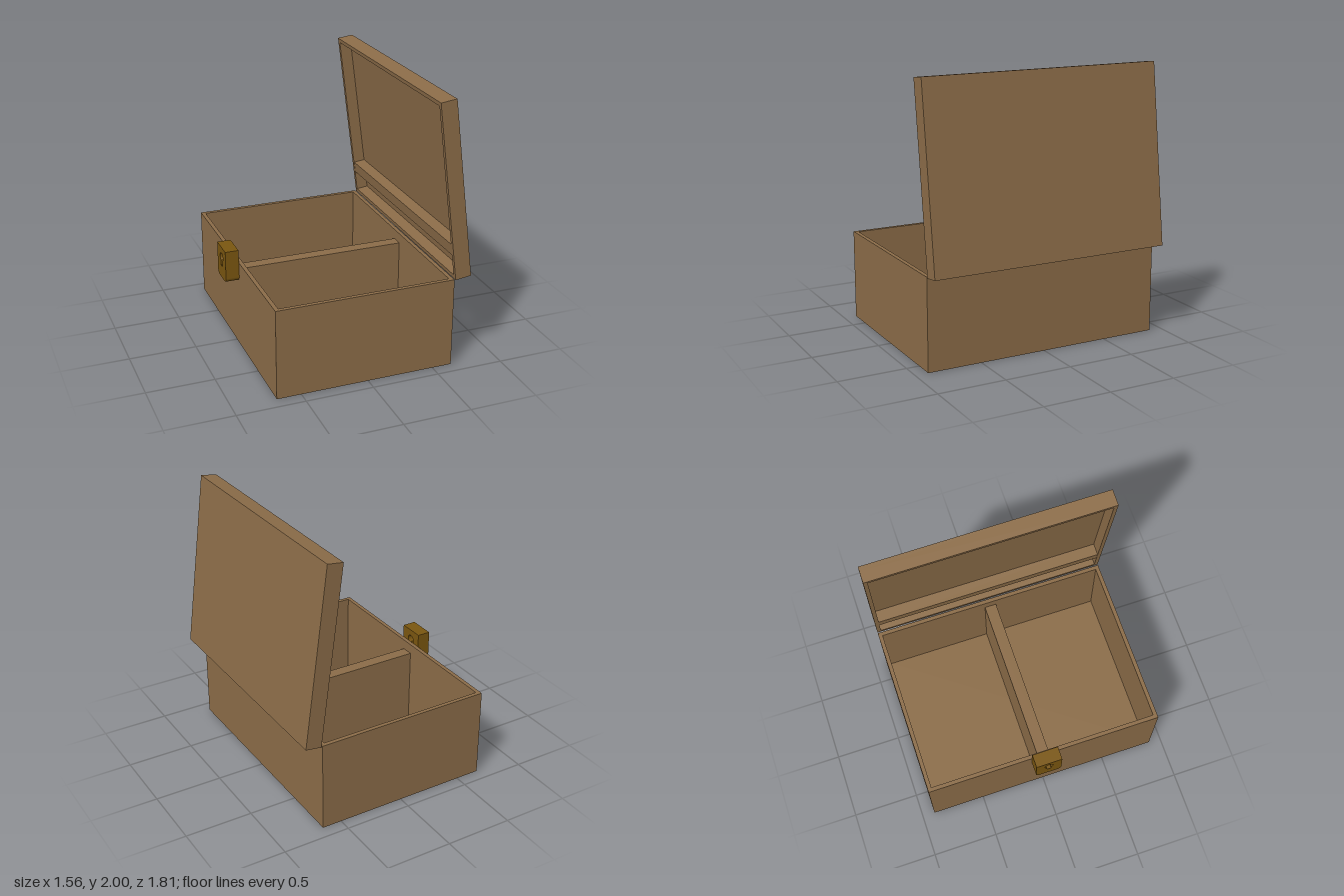
import * as THREE from 'three';

const LENGTH = 1.327, WIDTH = 1.81, WALL = 0.03;
const wood = new THREE.MeshStandardMaterial({ color: 0x8b6c48 });
const brass = new THREE.MeshStandardMaterial({ color: 0x7a5610 });

function addBox(group, name, [x0, x1], [y0, y1], [z0, z1]) {
  const mesh = new THREE.Mesh(new THREE.BoxGeometry(x1 - x0, y1 - y0, z1 - z0), wood);
  mesh.position.set((x0 + x1) / 2, (y0 + y1) / 2, (z0 + z1) / 2);
  mesh.name = name;
  group.add(mesh);
}

function rectangle(PathType, inset) {
  const x0 = inset, x1 = LENGTH - inset, z = WIDTH / 2 - inset;
  return new PathType([[x0, -z], [x1, -z], [x1, z], [x0, z]].map(p => new THREE.Vector2(...p)));
}

// Open tray: floor at y = 0, four walls, x from 0 to LENGTH
function tray(name, height) {
  const group = new THREE.Group();
  group.name = name;
  const frame = rectangle(THREE.Shape, 0);
  frame.holes.push(rectangle(THREE.Path, WALL));
  const walls = new THREE.ExtrudeGeometry(frame, { depth: height - WALL, bevelEnabled: false });
  walls.rotateX(-Math.PI / 2).translate(0, WALL, 0);
  const mesh = new THREE.Mesh(walls, wood);
  mesh.name = name + 'Walls';
  group.add(mesh);
  addBox(group, name + 'Panel', [0, LENGTH], [0, WALL], [-WIDTH / 2, WIDTH / 2]);
  return group;
}

// Lock plate with rounded lower corners and a keyhole right through
function lock() {
  const w = 0.1, y0 = 0.53, y1 = 0.775, r = 0.035;
  const s = new THREE.Shape();
  s.moveTo(-w, y1);
  s.lineTo(-w, y0 + r);
  s.absarc(-w + r, y0 + r, r, Math.PI, Math.PI * 1.5, false);
  s.absarc(w - r, y0 + r, r, Math.PI * 1.5, Math.PI * 2, false);
  s.lineTo(w, y1);
  s.closePath();
  const key = new THREE.Path();
  key.moveTo(-0.016, 0.625);
  key.lineTo(0.016, 0.625);
  key.absarc(0, 0.695, 0.034, -1.08, Math.PI + 1.08, false);
  key.closePath();
  s.holes.push(key);
  const geo = new THREE.ExtrudeGeometry(s, { depth: 0.1, bevelEnabled: false, curveSegments: 12 });
  geo.rotateY(-Math.PI / 2).translate(-0.68, 0, 0);
  const mesh = new THREE.Mesh(geo, brass);
  mesh.name = 'lock';
  return mesh;
}

export function createModel() {
  const model = new THREE.Group();
  model.name = 'openBox';
  const inner = [-WIDTH / 2 + WALL, WIDTH / 2 - WALL];

  // Base with its central divider
  const base = tray('base', 0.675);
  addBox(base, 'divider', [WALL, LENGTH - WALL], [WALL, 0.6], [-0.045, 0.045]);
  base.position.x = -0.68;

  // Lid swung open, with a cross bar near the hinge
  const lid = tray('lid', 0.12);
  addBox(lid, 'lidBar', [0.185, 0.27], [WALL, 0.118], inner);
  lid.position.set(0.775, 0.685, 0);
  lid.rotation.z = Math.PI / 2 + 0.1286;

  model.add(base, lid, lock());
  return model;
}
